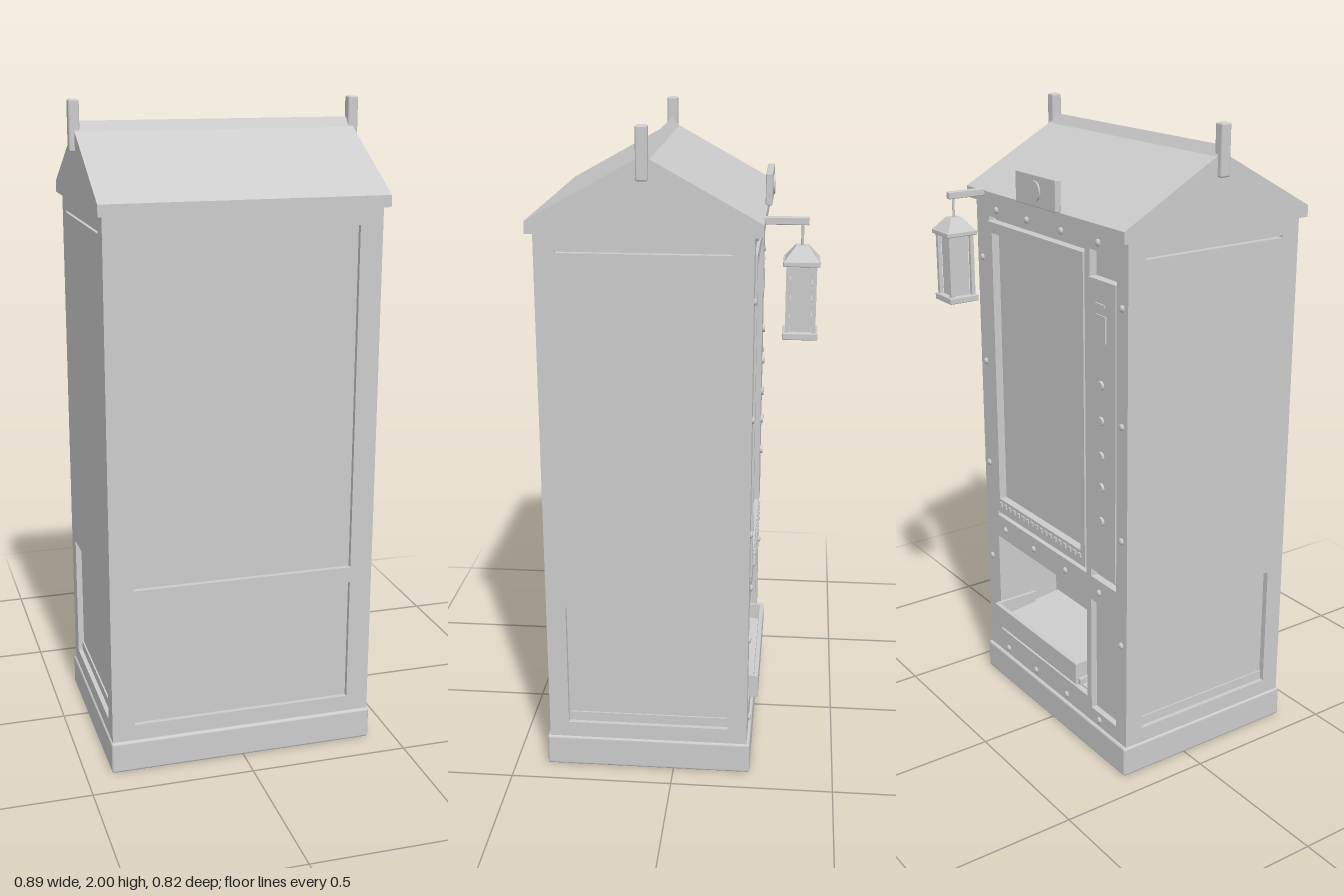
import * as THREE from 'three';
import { RoundedBoxGeometry } from 'three/addons/geometries/RoundedBoxGeometry.js';

const grey = new THREE.MeshStandardMaterial({ color: 0xcccccc });
grey.name = 'plain grey';

function add(parent, name, geo, x = 0, y = 0, z = 0) {
  const m = new THREE.Mesh(geo, grey);
  m.name = name;
  m.position.set(x, y, z);
  parent.add(m);
  return m;
}

// Box given by its limits on each axis
function box(parent, name, [x0, x1], [y0, y1], [z0, z1], round = 0) {
  const s = [x1 - x0, y1 - y0, z1 - z0];
  const geo = round ? new RoundedBoxGeometry(...s, 2, round) : new THREE.BoxGeometry(...s);
  return add(parent, name, geo, (x0 + x1) / 2, (y0 + y1) / 2, (z0 + z1) / 2);
}

// Flat plate with rectangular openings; each rectangle is [x0, x1, y0, y1]
function plate(outer, holes, depth) {
  const trace = (p, [x0, x1, y0, y1]) => {
    p.moveTo(x0, y0); p.lineTo(x1, y0); p.lineTo(x1, y1); p.lineTo(x0, y1); p.closePath();
    return p;
  };
  const shape = trace(new THREE.Shape(), outer);
  holes.forEach((h) => shape.holes.push(trace(new THREE.Path(), h)));
  return new THREE.ExtrudeGeometry(shape, { depth, bevelEnabled: false });
}

// Extrude a [z, y] profile between x0 and x1
function profileX(points, x0, x1) {
  const shape = new THREE.Shape(points.map(([z, y]) => new THREE.Vector2(-z, y)));
  const g = new THREE.ExtrudeGeometry(shape, { depth: x1 - x0, bevelEnabled: false });
  return g.rotateY(Math.PI / 2).translate(x0, 0, 0);
}

function buildCabinet(g) {
  box(g, 'plinth', [-0.42, 0.42], [0, 0.1], [-0.24, 0.4], 0.008);
  box(g, 'upperCore', [-0.396, 0.396], [0.56, 1.7], [-0.205, 0.375]);
  box(g, 'lowerCore', [-0.396, 0.396], [0.1, 0.56], [0, 0.375]);
  box(g, 'columnCore', [-0.396, -0.2], [0.1, 0.56], [-0.21, 0]);
  box(g, 'cavityWall', [0.34, 0.396], [0.1, 0.56], [-0.21, 0]);

  // Plain face with two sunken panels
  add(g, 'plainFrame', plate([-0.395, 0.395, 0.1, 1.7],
    [[-0.345, 0.345, 0.15, 0.54], [-0.345, 0.345, 0.59, 1.65]], 0.025), 0, 0, 0.365);

  // Side walls, sunken lower panel and a groove below the eaves
  for (const s of [-1, 1]) {
    const wall = add(g, 'sideWall', plate([-0.39, 0.23, 0.1, 1.7],
      [[-0.33, 0.17, 0.15, 0.55], [-0.33, 0.17, 1.645, 1.652]], 0.02), s > 0 ? 0.395 : -0.415);
    wall.rotation.y = Math.PI / 2;
    const sill = profileX([[0.33, 0.15], [-0.17, 0.15], [-0.17, 0.18], [0.33, 0.18]], 0, 0.006);
    add(g, 'sideSill', sill, s > 0 ? 0.395 : -0.401);
  }
}

function buildVendingFace(g) {
  add(g, 'vendingFrame', plate([-0.395, 0.395, 0.1, 1.7], [
    [-0.2, 0.34, 0.18, 0.54], [-0.2, 0.34, 0.62, 1.65],
    [-0.36, -0.225, 0.15, 0.54], [-0.36, -0.225, 0.62, 1.65],
  ], 0.03), 0, 0, -0.23);

  // Display window trim and glass
  add(g, 'windowTrim', plate([-0.2, 0.34, 0.64, 1.635], [[-0.175, 0.315, 0.69, 1.6]], 0.03), 0, 0, -0.236);
  box(g, 'windowGlass', [-0.175, 0.315], [0.69, 1.6], [-0.21, -0.2]);
  for (let i = 0; i < 18; i++) {
    box(g, 'shelfStud', [-0.18 + i * 0.028, -0.166 + i * 0.028], [0.665, 0.68], [-0.241, -0.23]);
  }

  // Control column
  box(g, 'controlPanel', [-0.36, -0.225], [0.65, 1.57], [-0.234, -0.2]);
  box(g, 'coinSlot', [-0.31, -0.265], [1.495, 1.503], [-0.239, -0.23]);
  box(g, 'coinPlate', [-0.315, -0.265], [1.39, 1.47], [-0.238, -0.23]);
  for (const y of [1.26, 1.15, 1.04, 0.94, 0.83]) {
    add(g, 'button', new THREE.CylinderGeometry(0.014, 0.014, 0.012, 16), -0.29, y, -0.236).rotation.x = Math.PI / 2;
  }

  // Rivets on stiles and rails
  const spots = [];
  for (const y of [1.51, 1.16, 0.8, 0.45]) spots.push([-0.388, y], [0.385, y]);
  for (const x of [0.29, 0.11, -0.08, -0.27]) spots.push([x, 1.675], [x, 0.58], [x, 0.125]);
  const rivet = new THREE.SphereGeometry(0.011, 10, 6).scale(1, 1, 0.7);
  for (const [x, y] of spots) add(g, 'rivet', rivet, x, y, -0.231);

  // Delivery tray: sloping floor, lip and cheeks
  const tray = new THREE.Group();
  tray.name = 'deliveryTray';
  g.add(tray);
  add(tray, 'trayFloor', profileX([[-0.25, 0.22], [0, 0.25], [0, 0.27], [-0.25, 0.24]], -0.19, 0.33));
  box(tray, 'trayLip', [-0.18, 0.33], [0.22, 0.295], [-0.26, -0.245], 0.003);
  for (const x of [-0.18, 0.318]) box(tray, 'trayCheek', [x, x + 0.012], [0.22, 0.295], [-0.25, -0.1]);
  box(g, 'cavityFloor', [-0.2, 0.34], [0.1, 0.185], [-0.21, 0]);
}

function buildRoof(g) {
  add(g, 'roof', profileX([
    [0.41, 1.7], [-0.255, 1.7], [-0.255, 1.735], [0.058, 1.908],
    [0.078, 1.938], [0.098, 1.908], [0.41, 1.735],
  ], -0.43, 0.43));
  for (const s of [-1, 1]) {
    add(g, 'gablePost', new RoundedBoxGeometry(0.032, 0.15, 0.034, 2, 0.006), s * 0.43, 1.925, 0.079);
  }
  // Crest board over the vending face
  box(g, 'crestBoard', [-0.11, 0.11], [1.735, 1.83], [-0.268, -0.248], 0.004);
  add(g, 'crestDisc', new THREE.CylinderGeometry(0.03, 0.03, 0.008, 24), 0, 1.783, -0.269).rotation.x = Math.PI / 2;
}

function buildLantern(g) {
  const lamp = new THREE.Group();
  lamp.name = 'lantern';
  lamp.position.set(0.33, 0, -0.36);
  g.add(lamp);
  box(lamp, 'lanternArm', [-0.01, 0.01], [1.72, 1.742], [-0.018, 0.12], 0.003);
  add(lamp, 'lanternRod', new THREE.CylinderGeometry(0.004, 0.004, 0.07, 8), 0, 1.69, 0);
  const cap = new THREE.CylinderGeometry(0.018 * Math.SQRT2, 0.05 * Math.SQRT2, 0.04, 4).toNonIndexed();
  cap.rotateY(Math.PI / 4);
  cap.computeVertexNormals();
  add(lamp, 'lanternCap', cap, 0, 1.643, 0);
  box(lamp, 'lanternCapRim', [-0.052, 0.052], [1.61, 1.625], [-0.052, 0.052], 0.003);
  box(lamp, 'lanternBase', [-0.05, 0.05], [1.4, 1.42], [-0.05, 0.05], 0.003);
  box(lamp, 'lanternGlass', [-0.03, 0.03], [1.42, 1.61], [-0.03, 0.03]);
  for (const x of [-0.037, 0.037]) for (const z of [-0.037, 0.037]) {
    box(lamp, 'lanternPost', [x - 0.006, x + 0.006], [1.41, 1.615], [z - 0.006, z + 0.006]);
  }
}

export function createModel() {
  const model = new THREE.Group();
  model.name = 'vendingKiosk';
  for (const [name, build] of [['cabinet', buildCabinet], ['vendingFace', buildVendingFace],
    ['roofAssembly', buildRoof], ['lanternAssembly', buildLantern]]) {
    const part = new THREE.Group();
    part.name = name;
    build(part);
    model.add(part);
  }
  return model;
}
